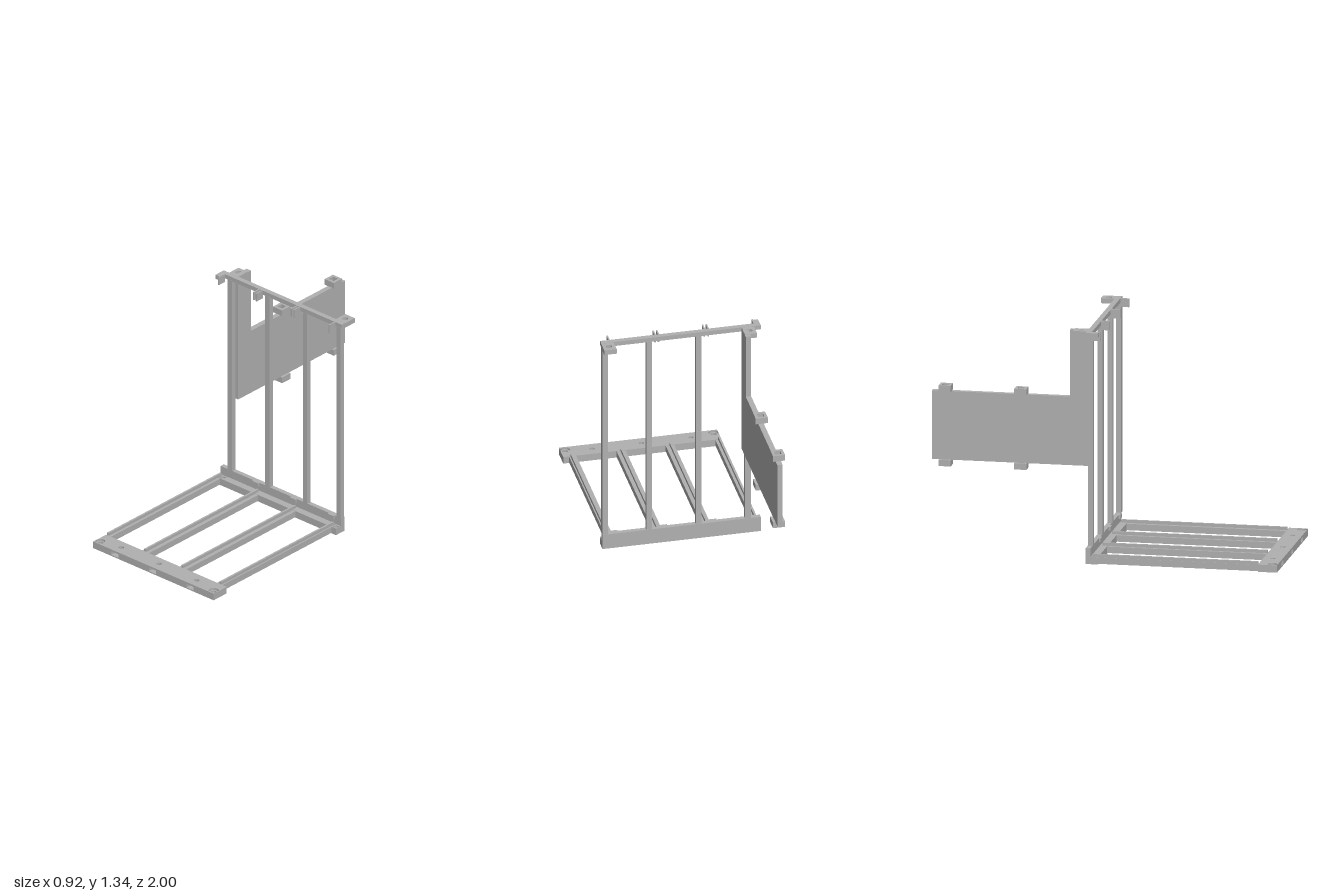
import * as THREE from 'three';

export function createModel() {
  const model = new THREE.Group();
  model.name = 'foldingRackFrame';
  const steel = new THREE.MeshStandardMaterial({ color: 0xb0b0b0 });
  steel.name = 'plainGrey';

  const add = (name, geometry) => {
    const mesh = new THREE.Mesh(geometry, steel);
    mesh.name = name;
    model.add(mesh);
    return mesh;
  };
  // Box given by its lower and upper limits on each axis
  const box = (name, x0, x1, y0, y1, z0, z1) => {
    const g = new THREE.BoxGeometry(x1 - x0, y1 - y0, z1 - z0);
    g.translate((x0 + x1) / 2, (y0 + y1) / 2, (z0 + z1) / 2);
    return add(name, g);
  };
  // Horizontal slab from an outline of [x, z] points with round holes [x, z, r]
  const slab = (name, outline, holes, y0, y1) => {
    const shape = new THREE.Shape(outline.map(([x, z]) => new THREE.Vector2(x, -z)));
    for (const [x, z, r] of holes) {
      const hole = new THREE.Path();
      hole.absarc(x, -z, r, 0, Math.PI * 2, true);
      shape.holes.push(hole);
    }
    const g = new THREE.ExtrudeGeometry(shape, { depth: y1 - y0, bevelEnabled: false, curveSegments: 10 });
    g.rotateX(-Math.PI / 2);
    g.translate(0, y0, 0);
    return add(name, g);
  };
  const rect = (x0, x1, z0, z1) => [[x0, z1], [x1, z1], [x1, z0], [x0, z0]];

  const L = -0.465, R = 0.451;
  const slotX = [-0.301, -0.015, 0.272];
  const corners = (z, r) => [[-0.437, z, r], [0.423, z, r]];
  const screws = slotX.map((x) => [x, 0.945, 0.015]);

  // Front floor bar: base, slotted middle, counterbored top
  const slotted = [[L, 1]];
  for (const x of slotX) {
    slotted.push([x - 0.027, 1], [x - 0.027, 0.92], [x + 0.027, 0.92], [x + 0.027, 1]);
  }
  slotted.push([R, 1], [R, 0.89], [L, 0.89]);
  const front = rect(L, R, 0.89, 1);
  slab('frontBarBase', front, [...corners(0.97, 0.018), ...screws], 0, 0.007);
  slab('frontBarSlots', slotted, corners(0.97, 0.018), 0.007, 0.03);
  slab('frontBarTop', front, [...corners(0.97, 0.0275), ...screws], 0.03, 0.042);

  // Back floor bar with its raised wall and stop tabs
  const back = rect(L, R, -0.1, -0.03);
  slab('backBarBase', back, corners(-0.06, 0.018), 0, 0.03);
  slab('backBarTop', back, corners(-0.06, 0.0275), 0.03, 0.042);
  box('backBarWall', L, R, 0.042, 0.092, -0.1, -0.073);
  for (const x of [-0.193, 0.093, 0.38]) {
    box('wallTab', x - 0.023, x + 0.023, 0.07, 0.092, -0.074, -0.062);
  }

  // Floor rails: flange with an upright fin
  const rails = [
    [-0.46, -0.43, -0.458], [-0.192, -0.142, -0.176],
    [0.09, 0.142, 0.108], [0.375, 0.417, 0.397],
  ];
  for (const [x0, x1, fin] of rails) {
    box('railFlange', x0, x1, 0.003, 0.04, -0.035, 0.892);
    box('railFin', fin, fin + 0.012, 0.038, 0.058, -0.06, 0.89);
  }

  // Upright posts
  for (const x of [-0.392, -0.107, 0.18, 0.435]) {
    box('post', x - 0.0165, x + 0.0165, 0.092, 1.316, -0.098, -0.069);
  }

  // Top bar with downward lips and drilled ears
  box('topBar', L, 0.458, 1.314, 1.34, -0.1, -0.07);
  for (const x of [-0.433, -0.168, -0.146, 0.12, 0.14, 0.406]) {
    box('topLip', x - 0.004, x + 0.004, 1.29, 1.34, -0.071, -0.02);
  }
  box('topEndTab', L, -0.43, 1.314, 1.34, -0.071, -0.03);
  slab('rightEar', rect(-0.425, -0.355, -0.18, -0.099), [[-0.39, -0.14, 0.017]], 1.31, 1.339);
  slab('leftEar', rect(0.387, 0.459, -0.18, -0.099), [[0.422, -0.14, 0.017]], 1.31, 1.339);

  // Side panel with a neck rising to the top bar
  const panel = new THREE.Shape([
    [0.098, 0.55], [1, 0.55], [1, 0.948], [0.205, 0.948], [0.205, 1.337], [0.098, 1.337],
  ].map(([z, y]) => new THREE.Vector2(z, y)));
  const panelGeo = new THREE.ExtrudeGeometry(panel, { depth: 0.031, bevelEnabled: false });
  panelGeo.rotateY(Math.PI / 2);
  panelGeo.translate(-0.385, 0, 0);
  add('sidePanel', panelGeo);

  // Square socket clips on the panel's upper and lower edges
  for (const z of [-0.487, -0.922]) {
    for (const y of [0.516, 0.948]) {
      const s = 0.035, h = 0.018, cx = -0.374;
      box('clipSide', cx - s, cx - h, y, y + 0.036, z - s, z + s);
      box('clipSide', cx + h, cx + s, y, y + 0.036, z - s, z + s);
      box('clipEnd', cx - h, cx + h, y, y + 0.036, z - s, z - h);
      box('clipEnd', cx - h, cx + h, y, y + 0.036, z + h, z + s);
    }
  }
  return model;
}
